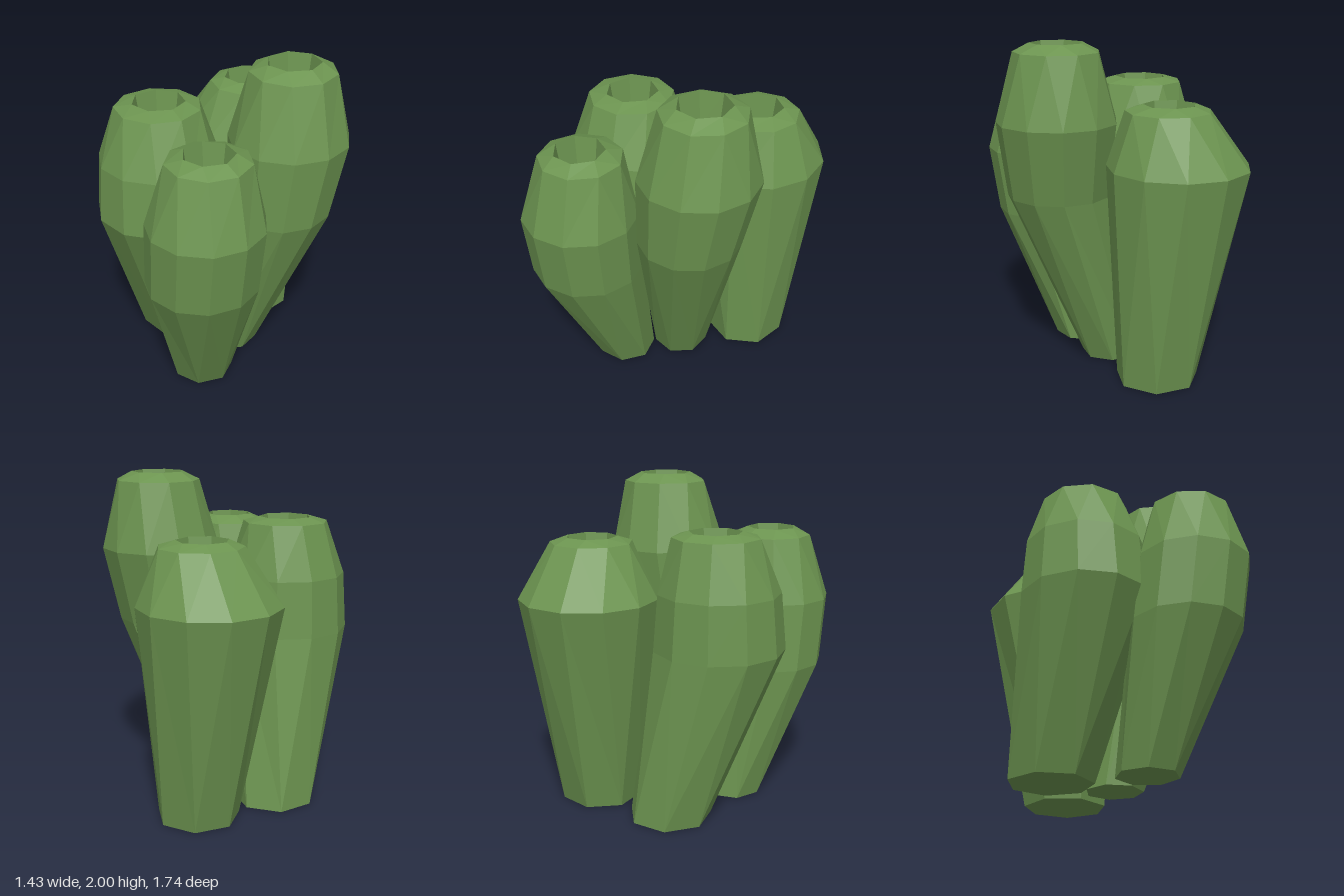
import * as THREE from 'three';

const TAU = Math.PI * 2;

// Closed faceted skin through rings of [y, centreX, centreZ, radius, sides, turn], listed from the base up
function tubeGeometry(rings) {
  const pos = [];
  const corner = ([y, cx, cz, r, sides, turn], i) => {
    const a = turn + (i / sides) * TAU;
    return [cx + Math.cos(a) * r, y, cz + Math.sin(a) * r];
  };
  const face = (...corners) => corners.forEach((c) => pos.push(...c));

  // Side bands: step around both rings, advancing whichever corner lags behind
  for (let k = 0; k < rings.length - 1; k++) {
    const low = rings[k], high = rings[k + 1];
    const angle = (ring, i) => ring[5] + (i / ring[4]) * TAU;
    let i = 0, j = 0;
    while (i < low[4] || j < high[4]) {
      const stepLow = j === high[4] || (i < low[4] && angle(low, i + 1) <= angle(high, j + 1));
      if (stepLow) face(corner(low, i), corner(high, j), corner(low, ++i));
      else face(corner(low, i), corner(high, j), corner(high, ++j));
    }
  }

  // Base and hollow floor caps
  const base = rings[0], floor = rings[rings.length - 1];
  for (let i = 1; i < base[4] - 1; i++) face(corner(base, 0), corner(base, i), corner(base, i + 1));
  for (let i = 1; i < floor[4] - 1; i++) face(corner(floor, 0), corner(floor, i + 1), corner(floor, i));

  const geometry = new THREE.BufferGeometry();
  geometry.setAttribute('position', new THREE.Float32BufferAttribute(pos, 3));
  geometry.computeVertexNormals();
  return geometry;
}

// Gives each ring its side count and adds the rolled lip and the hollow above the shoulder
function tubeRings({ baseTurn, turn, base, belly, shoulder, mouth: [y, x, z, r] }) {
  return [
    [...base, 7, baseTurn],
    ...belly.map((ring) => [...ring, 11, turn]),
    [...shoulder, 9, turn],
    [y, x, z, r, 7, turn],
    [y - 0.2, x, z, r * 0.8, 7, turn],
  ];
}

export function createModel() {
  const green = new THREE.MeshStandardMaterial({ color: 0x6c9450, flatShading: true });
  green.name = 'leaf green';

  const tubes = [
    {
      name: 'frontLeftTube', baseTurn: 0.29, turn: 0.2,
      base: [0, -0.37, 0.06, 0.252],
      belly: [[1.04, -0.23, 0.32, 0.395], [1.38, -0.24, 0.32, 0.365]],
      shoulder: [1.7, -0.25, 0.305, 0.26], mouth: [1.73, -0.25, 0.3, 0.16],
    },
    {
      name: 'backLeftTube', baseTurn: 0.48, turn: 0.3,
      base: [0, -0.185, -0.45, 0.25],
      belly: [[1.31, -0.295, -0.465, 0.42]],
      shoulder: [1.635, -0.23, -0.465, 0.25], mouth: [1.67, -0.24, -0.46, 0.155],
    },
    {
      name: 'backRightTube', baseTurn: 0.3, turn: 0.2,
      base: [0, 0.02, -0.02, 0.172],
      belly: [[1.09, 0.345, -0.105, 0.31], [1.54, 0.36, -0.16, 0.36]],
      shoulder: [1.95, 0.36, -0.18, 0.255], mouth: [2, 0.36, -0.18, 0.16],
    },
    {
      name: 'frontRightTube', baseTurn: 0.03, turn: 0.1,
      base: [0, 0.12, 0.335, 0.185],
      belly: [[0.84, 0.315, 0.515, 0.335], [1.25, 0.365, 0.53, 0.345]],
      shoulder: [1.635, 0.365, 0.505, 0.245], mouth: [1.68, 0.37, 0.51, 0.15],
    },
  ];

  const group = new THREE.Group();
  group.name = 'tubeCluster';
  for (const tube of tubes) {
    const mesh = new THREE.Mesh(tubeGeometry(tubeRings(tube)), green);
    mesh.name = tube.name;
    group.add(mesh);
  }
  return group;
}
